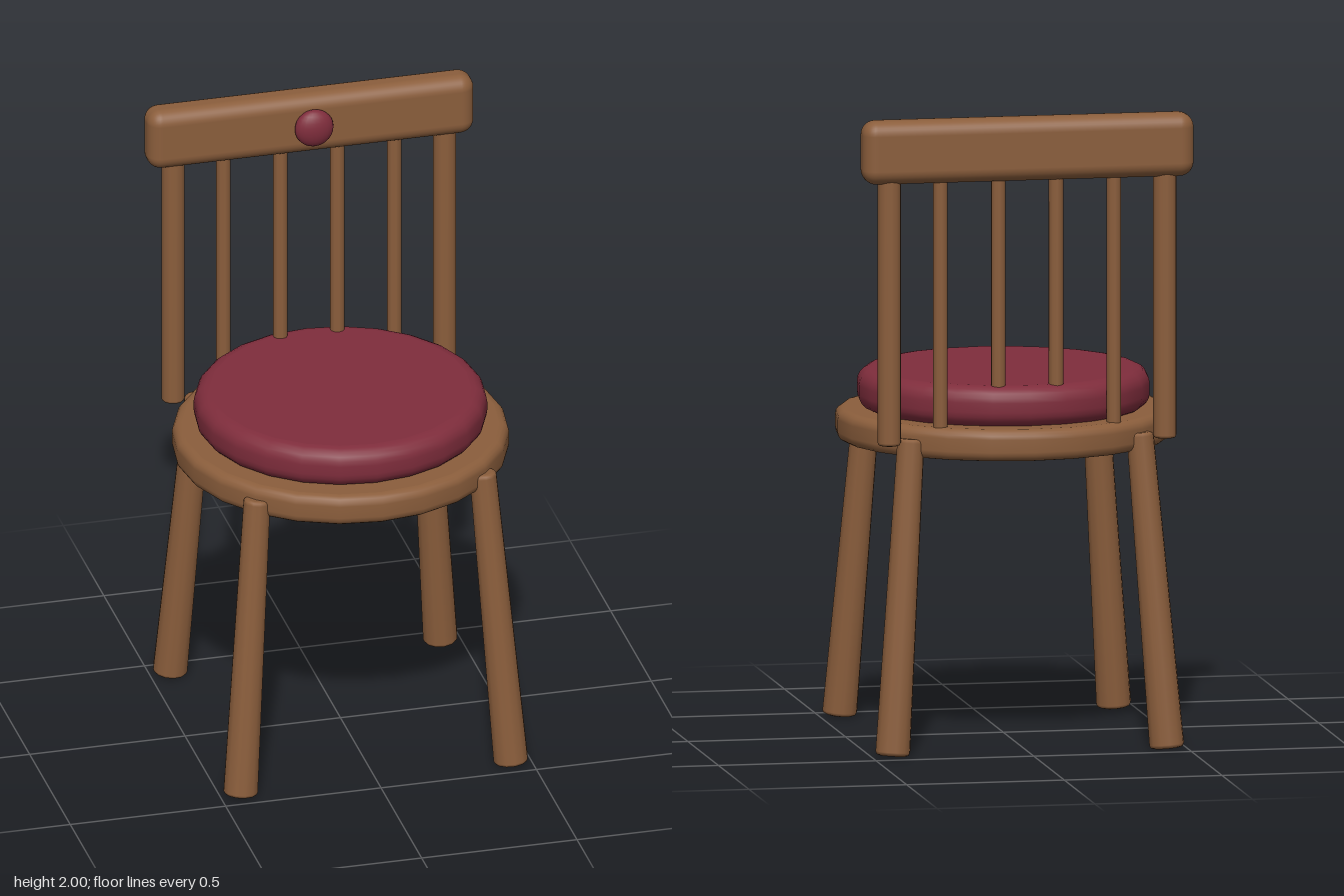
import * as THREE from 'three';
import { RoundedBoxGeometry } from 'three/addons/geometries/RoundedBoxGeometry.js';

const wood = new THREE.MeshStandardMaterial({ color: 0x8b5e3c });
wood.name = 'wood';
const fabric = new THREE.MeshStandardMaterial({ color: 0x7f2d3c });
fabric.name = 'red fabric';

// Round solid standing on y = 0, with both rims rounded by the given bevel.
function roundedCylinder(bottomRadius, topRadius, height, bevel, sides, steps = 4) {
  const points = [new THREE.Vector2(0, 0), new THREE.Vector2(bottomRadius - bevel - 0.001, 0)];
  for (let i = 0; i <= steps; i++) {
    const a = (i / steps) * Math.PI / 2;
    points.push(new THREE.Vector2(bottomRadius - bevel + bevel * Math.sin(a), bevel - bevel * Math.cos(a)));
  }
  for (let i = 0; i <= steps; i++) {
    const a = (i / steps) * Math.PI / 2;
    points.push(new THREE.Vector2(topRadius - bevel + bevel * Math.cos(a), height - bevel + bevel * Math.sin(a)));
  }
  points.push(new THREE.Vector2(topRadius - bevel - 0.001, height), new THREE.Vector2(0, height));
  return new THREE.LatheGeometry(points, sides);
}

export function createModel() {
  const chair = new THREE.Group();
  chair.name = 'chair';

  function add(name, geometry, material, x, y, z) {
    const mesh = new THREE.Mesh(geometry, material);
    mesh.name = name;
    mesh.position.set(x, y, z);
    chair.add(mesh);
    return mesh;
  }

  // Round seat and its cushion
  add('seat', roundedCylinder(0.525, 0.525, 0.1, 0.03, 24), wood, 0, 0.93, 0);
  add('cushion', roundedCylinder(0.457, 0.457, 0.13, 0.05, 24, 5), fabric, 0, 1.025, 0);

  // Four splayed, tapered legs
  const foot = new THREE.Vector3();
  const head = new THREE.Vector3();
  const up = new THREE.Vector3(0, 1, 0);
  const legGeometry = roundedCylinder(0.055, 0.043, 0.99, 0.012, 12, 2);
  for (const sz of [1, -1]) {
    for (const sx of [1, -1]) {
      foot.set(sx * 0.435, 0.005, sz * 0.435);
      head.set(sx * 0.363, 0.99, sz * 0.363);
      const name = (sz > 0 ? 'front' : 'back') + (sx > 0 ? 'Left' : 'Right') + 'Leg';
      const leg = add(name, legGeometry, wood, foot.x, foot.y, foot.z);
      leg.quaternion.setFromUnitVectors(up, head.clone().sub(foot).normalize());
    }
  }

  // Back posts and slim spindles
  const backZ = -0.39;
  const postGeometry = roundedCylinder(0.037, 0.037, 0.86, 0.01, 12, 2);
  for (const sx of [1, -1]) {
    add(sx > 0 ? 'leftPost' : 'rightPost', postGeometry, wood, sx * 0.437, 0.975, backZ);
  }
  const spindleGeometry = roundedCylinder(0.023, 0.023, 0.83, 0.006, 10, 2);
  for (let i = 0; i < 4; i++) {
    add('spindle' + (i + 1), spindleGeometry, wood, -0.275 + i * 0.55 / 3, 1.0, backZ);
  }

  // Top rail with a flattened button
  add('topRail', new RoundedBoxGeometry(1.05, 0.2, 0.11, 4, 0.045), wood, 0, 1.9, backZ);
  const button = add('railButton', new THREE.SphereGeometry(0.062, 20, 14), fabric, 0, 1.9, -0.324);
  button.scale.z = 0.55;

  return chair;
}
